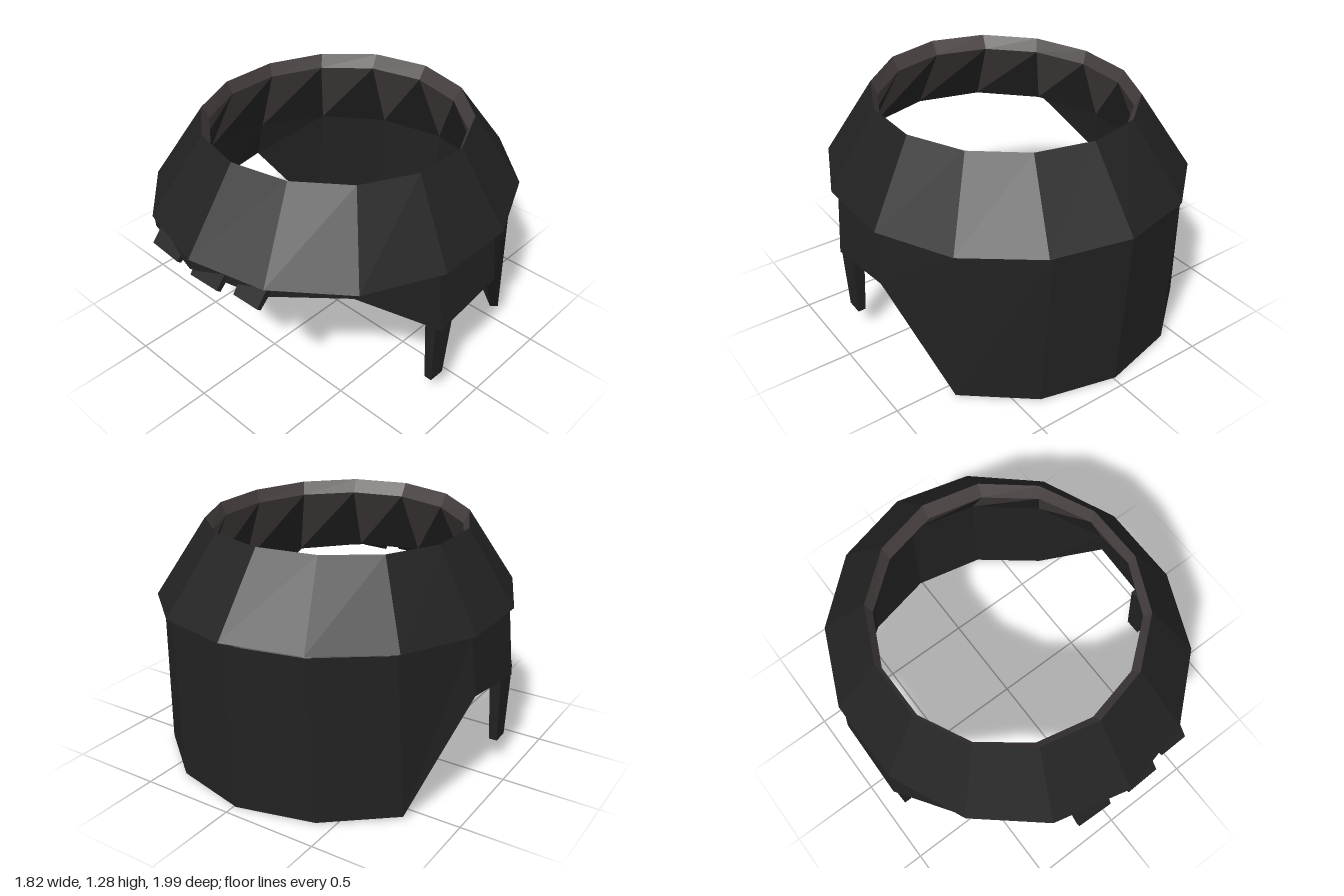
import * as THREE from 'three';

const SIDES = 14;
const hairDark = new THREE.MeshStandardMaterial({ color: 0x222222, side: THREE.DoubleSide });
hairDark.name = 'dark hair';
const hairInner = new THREE.MeshStandardMaterial({ color: 0x463f3f, side: THREE.DoubleSide });
hairInner.name = 'inner hair';

// One point of a 14-sided ring; column 0 is at the back, column 7 at the front
function ringPoint(k, rx, rz, height, shift = 0) {
  const a = (k % SIDES) * Math.PI * 2 / SIDES;
  const s = Math.sin(a), f = -Math.cos(a); // f is -1 at the back, 1 at the front
  return [s * rx + shift, typeof height === 'function' ? height(f, s) : height, f * rz];
}

// Flat-shaded strips joining consecutive rings; pick(strip, triangle) selects a material
function ringMesh(name, rings, pick = () => 0) {
  const parts = [[], []];
  for (let j = 0; j < rings.length - 1; j++) {
    for (let k = 0; k < SIDES; k++) {
      const a = rings[j](k), b = rings[j](k + 1), c = rings[j + 1](k), d = rings[j + 1](k + 1);
      parts[pick(j, 0)].push(...b, ...a, ...c);
      parts[pick(j, 1)].push(...b, ...c, ...d);
    }
  }
  const geo = new THREE.BufferGeometry();
  geo.setAttribute('position', new THREE.Float32BufferAttribute(parts.flat(), 3));
  geo.addGroup(0, parts[0].length / 3, 0);
  geo.addGroup(parts[0].length / 3, parts[1].length / 3, 1);
  geo.computeVertexNormals();
  const mesh = new THREE.Mesh(geo, [hairDark, hairInner]);
  mesh.name = name;
  return mesh;
}

// Box whose lower end is narrowed
function taperedBox(w, h, d, tx, tz) {
  const geo = new THREE.BoxGeometry(w, h, d).toNonIndexed();
  const p = geo.attributes.position;
  for (let i = 0; i < p.count; i++) {
    if (p.getY(i) < 0) p.setXYZ(i, p.getX(i) * tx, p.getY(i), p.getZ(i) * tz);
  }
  geo.computeVertexNormals();
  return geo;
}

export function createModel() {
  const group = new THREE.Group();

  const rimY = (f) => 0.85 + 0.037 * f * f;
  const topY = (f, s) => 1.252 + 0.012 * f + 0.018 * f * f + 0.01 * s;
  const lipY = (f, s) => topY(f, s) - 0.07;
  const innerY = (f) => 0.785 + 0.055 * f;
  const underY = (f) => rimY(f) - 0.02;

  // Sloping crown with an open top and a faceted lining
  group.add(ringMesh('crown', [
    (k) => ringPoint(k, 0.86, 0.95, underY),
    (k) => ringPoint(k, 0.925, 0.995, rimY),
    (k) => ringPoint(k, 0.68, 0.70, topY),
    (k) => ringPoint(k, 0.655, 0.655, lipY),
    (k) => ringPoint(k, 0.82, 0.88, innerY),
  ], (strip, tri) => (strip === 2 || (strip === 3 && tri === 0) ? 1 : 0)));

  // Hanging wall: long at the back, short above the face
  const hem = [0.003, 0.01, 0.016, 0.545, 0.49, 0.82, 0.82, 0.82];
  const hemY = (k) => { const c = k % SIDES; return hem[Math.min(c, SIDES - c)]; };
  // The wall flares sideways and tucks in at the back as it descends
  const outerBottom = (k, inset) => {
    const drop = 0.85 - hemY(k);
    return ringPoint(k, 0.885 + 0.05 * Math.min(1, drop * 2.5) - inset,
      0.985 - 0.045 * drop / 0.85 - inset, hemY(k), -0.012);
  };
  group.add(ringMesh('hairWall', [
    (k) => ringPoint(k, 0.82, 0.88, innerY),
    (k) => outerBottom(k, 0.045),
    (k) => outerBottom(k, 0),
    (k) => ringPoint(k, 0.89, 0.985, (f) => rimY(f) - 0.01, -0.012),
  ]));

  // Sideburns
  for (const x of [-0.875, 0.845]) {
    const burn = new THREE.Mesh(taperedBox(0.065, 0.4, 0.137, 0.65, 0.66), hairDark);
    burn.position.set(x, 0.335, 0.175);
    burn.rotation.x = -0.02;
    burn.name = x < 0 ? 'rightSideburn' : 'leftSideburn';
    group.add(burn);
  }

  // Short fringe tufts, tilted out over the forehead: x, y, z, width, roll
  const tufts = [
    [-0.2, 0.853, 0.925, 0.205, -0.05],
    [0.09, 0.842, 0.935, 0.195, 0.04],
    [0.33, 0.843, 0.893, 0.165, 0.03],
  ];
  for (const [x, y, z, w, roll] of tufts) {
    const tuft = new THREE.Mesh(taperedBox(w, 0.135, 0.04, 0.94, 0.7), hairDark);
    tuft.position.set(x, y, z);
    tuft.rotation.set(-0.75, 0, roll);
    tuft.name = 'fringeTuft';
    group.add(tuft);
  }

  return group;
}
